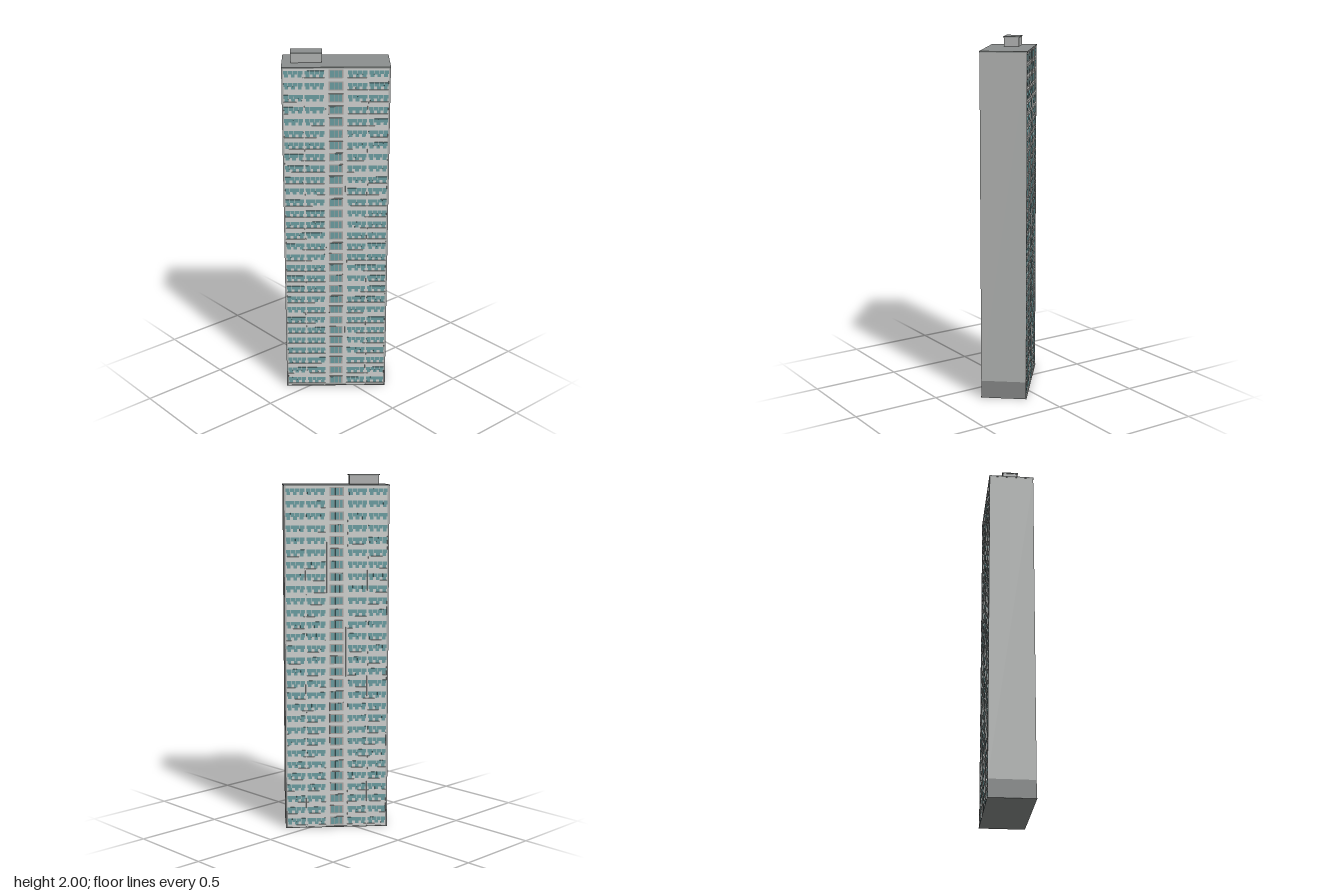
import * as THREE from 'three';
import { mergeGeometries } from 'three/addons/utils/BufferGeometryUtils.js';

const FLOORS = 29, TOP = 1.945, PITCH = (TOP - 0.008) / FLOORS;
const LENGTH = 0.58, DEPTH = 0.258, WALL = 0.122;

const material = (name, color) => {
  const m = new THREE.MeshStandardMaterial({ color });
  m.name = name;
  return m;
};

// Box given by centre and size
function box(x, y, z, w, h, d) {
  return new THREE.BoxGeometry(w, h, d).translate(x, y, z);
}

export function createModel() {
  const white = material('facadeWhite', 0xd2d4d2);
  const endGrey = material('endWallGrey', 0xb2b4b3);
  const roofGrey = material('roofGrey', 0x8c908f);
  const baseGrey = material('baseGrey', 0x868888);
  const glass = material('tealGlass', 0x6c9fa3);
  const frameGrey = material('stairFrameGrey', 0xaca8a5);

  const model = new THREE.Group();
  model.name = 'apartmentTower';
  const tower = new THREE.Group();
  tower.name = 'tower';
  tower.rotation.y = -0.7;
  model.add(tower);

  const add = (parent, name, mat, geos) => {
    const mesh = new THREE.Mesh(geos.length > 1 ? mergeGeometries(geos) : geos[0], mat);
    mesh.name = name;
    parent.add(mesh);
  };

  // Core, ground plate and roof slab
  add(tower, 'core', white, [box(0, TOP / 2, 0, LENGTH - 0.012, TOP - 0.01, WALL * 2)]);
  add(tower, 'groundPlate', roofGrey, [box(0, 0.002, 0, LENGTH, 0.004, DEPTH)]);
  add(tower, 'roofSlab', roofGrey, [box(0, TOP - 0.004, 0, LENGTH + 0.002, 0.008, DEPTH)]);

  // Blank end walls with a darker base
  for (const s of [-1, 1]) {
    const x = s * (LENGTH / 2 - 0.005);
    add(tower, 'endWall', endGrey, [box(x, (0.1 + TOP - 0.008) / 2, 0, 0.01, TOP - 0.108, DEPTH - 0.004)]);
    add(tower, 'endBase', baseGrey, [box(x, 0.052, 0, 0.01, 0.096, DEPTH - 0.004)]);
  }

  // Two matching long facades
  for (const turn of [0, Math.PI]) {
    const facade = new THREE.Group();
    facade.name = turn ? 'backFacade' : 'frontFacade';
    facade.rotation.y = turn;
    tower.add(facade);
    const panes = [], frames = [], spandrels = [], fins = [];

    for (let i = 0; i < FLOORS; i++) {
      const y = 0.004 + i * PITCH;
      for (const bandX of [-0.229, -0.115, 0.115, 0.229]) {
        // Ribbon of upper lights
        for (let k = 0; k < 4; k++) {
          panes.push(box(bandX + (k - 1.5) * 0.0265, y + 0.6 * PITCH, WALL, 0.0245, 0.3 * PITCH, 0.003));
        }
        // Lower door lights with wall between them
        for (const dx of [-0.036, 0, 0.036]) {
          panes.push(box(bandX + dx, y + 0.33 * PITCH, WALL, 0.02, 0.24 * PITCH, 0.003));
        }
        // Projecting band under the windows
        spandrels.push(box(bandX, y + 0.09 * PITCH, WALL + 0.002, 0.108, 0.18 * PITCH, 0.005));
      }
      // Stair window: grey frame with uneven lights
      frames.push(box(0, y + 0.5 * PITCH, WALL + 0.001, 0.078, 0.72 * PITCH, 0.004));
      for (const [x, w] of [[-0.022, 0.02], [0.002, 0.02], [0.024, 0.014]]) {
        panes.push(box(x, y + 0.5 * PITCH, WALL + 0.002, w, 0.58 * PITCH, 0.004));
      }
    }
    // Vertical fins between the window bands
    for (const x of [-0.172, -0.053, 0.053, 0.172]) {
      fins.push(box(x, TOP / 2, WALL + 0.002, 0.004, TOP - 0.016, 0.007));
    }
    add(facade, 'windowPanes', glass, panes);
    add(facade, 'stairWindowFrames', frameGrey, frames);
    add(facade, 'spandrelBands', white, spandrels);
    add(facade, 'verticalFins', white, fins);
  }

  // Rooftop plant room with a thin overhanging lid
  const plant = new THREE.Group();
  plant.name = 'plantRoom';
  plant.position.set(-0.159, TOP, -0.004);
  tower.add(plant);
  add(plant, 'plantWalls', endGrey, [box(0, 0.0245, 0, 0.164, 0.049, 0.084)]);
  add(plant, 'plantLid', roofGrey, [box(0, 0.052, 0, 0.172, 0.006, 0.092)]);

  return model;
}
